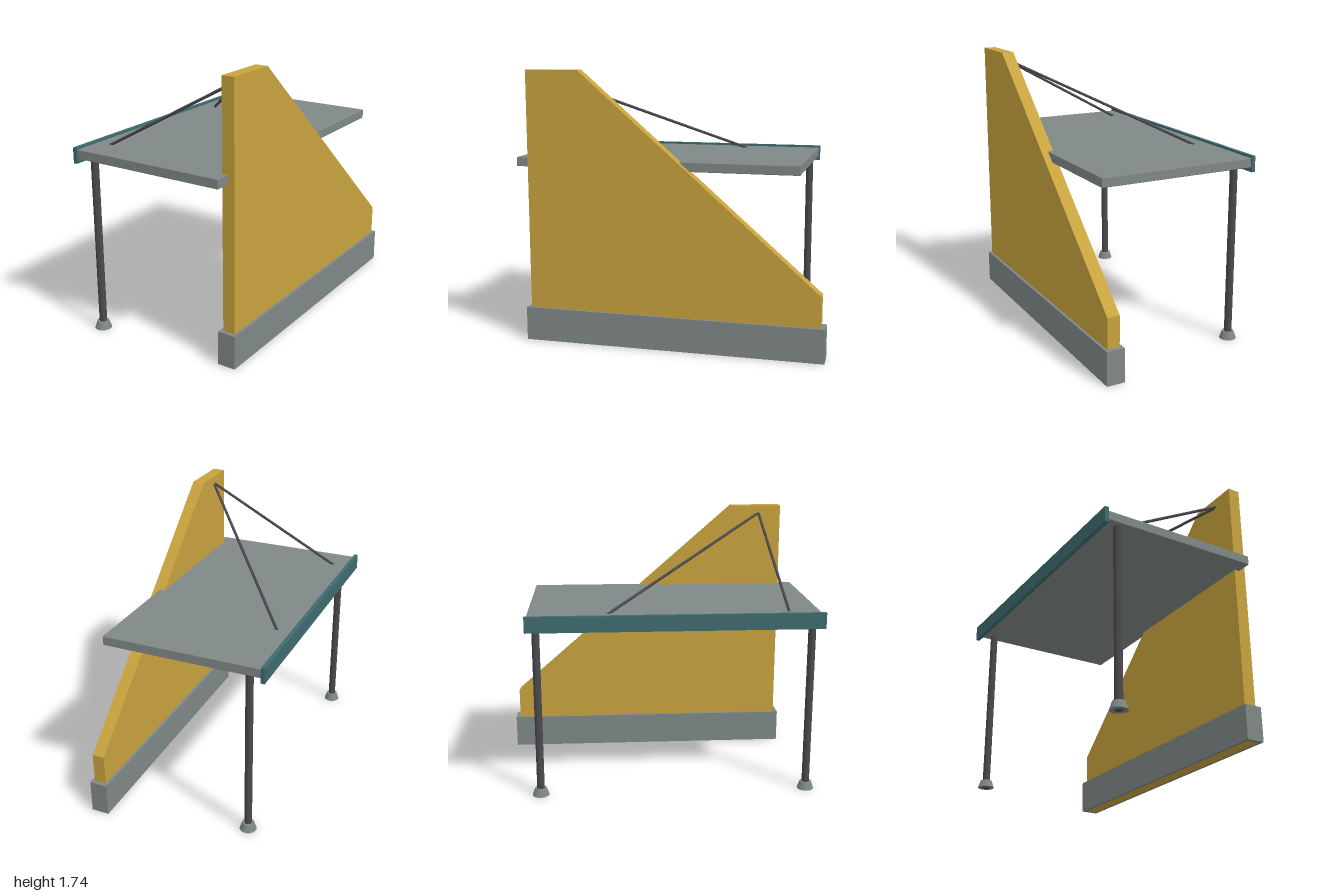
import * as THREE from 'three';
import { RoundedBoxGeometry } from 'three/addons/geometries/RoundedBoxGeometry.js';

const mat = (name, color) => {
  const m = new THREE.MeshStandardMaterial({ color });
  m.name = name;
  return m;
};

// Corner points of a rectangle
const rect = (x0, y0, x1, y1) =>
  [[x0, y0], [x1, y0], [x1, y1], [x0, y1]].map(([x, y]) => new THREE.Vector2(x, y));

export function createModel() {
  const model = new THREE.Group();
  model.name = 'carport';
  const ochre = mat('ochre', 0xc8a23e);
  const grey = mat('grey', 0x7f8887);
  const steel = mat('dark steel', 0x4b494f);
  const teal = mat('teal', 0x3e6b6f);

  const add = (name, geometry, material) => {
    const mesh = new THREE.Mesh(geometry, material);
    mesh.name = name;
    model.add(mesh);
    return mesh;
  };

  // Sloping side wall: profile in (-z, y), extruded along x
  const profile = [[-0.892, 0], [0.972, 0], [0.972, 0.41], [-0.55, 1.738], [-0.892, 1.738]];
  const wall = new THREE.ExtrudeGeometry(
    new THREE.Shape(profile.map(([u, y]) => new THREE.Vector2(u, y))),
    { depth: 0.08, bevelEnabled: false });
  wall.rotateY(Math.PI / 2);
  add('wall', wall, ochre).position.x = 0.456;

  // Plinth enclosing the wall foot: plan in (x, -z), extruded upwards
  const plan = new THREE.Shape(rect(0.437, -0.92, 0.553, 1));
  plan.holes.push(new THREE.Path(rect(0.456, -0.892, 0.536, 0.972)));
  const plinth = new THREE.ExtrudeGeometry(plan, { depth: 0.215, bevelEnabled: false });
  plinth.rotateX(-Math.PI / 2);
  add('plinth', plinth, grey);

  // Solid canopy slab with slightly eased edges, and the fascia on its outer side
  const low = 1.126, top = 1.185;
  add('canopy', new RoundedBoxGeometry(1.024, top - low, 1.812, 2, 0.004), grey)
    .position.set(-0.02, (low + top) / 2, 0.081);
  add('fascia', new THREE.BoxGeometry(0.025, 0.1, 1.833), teal)
    .position.set(-0.5405, 1.148, 0.0835);

  // Posts on tapered feet
  for (const z of [0.941, -0.774]) {
    add('post', new THREE.CylinderGeometry(0.024, 0.024, low, 24), steel)
      .position.set(-0.438, low / 2, z);
    add('postFoot', new THREE.CylinderGeometry(0.037, 0.053, 0.048, 24), grey)
      .position.set(-0.438, 0.025, z);
  }

  // Tie rods from the wall head to the canopy
  const rod = (a, b) => add('tieRod',
    new THREE.TubeGeometry(new THREE.LineCurve3(a, b), 1, 0.009, 12), steel);
  rod(new THREE.Vector3(-0.438, 1.18, -0.335), new THREE.Vector3(0.472, 1.687, 0.745));
  rod(new THREE.Vector3(-0.438, 1.18, 0.793), new THREE.Vector3(0.472, 1.687, 0.742));

  return model;
}
